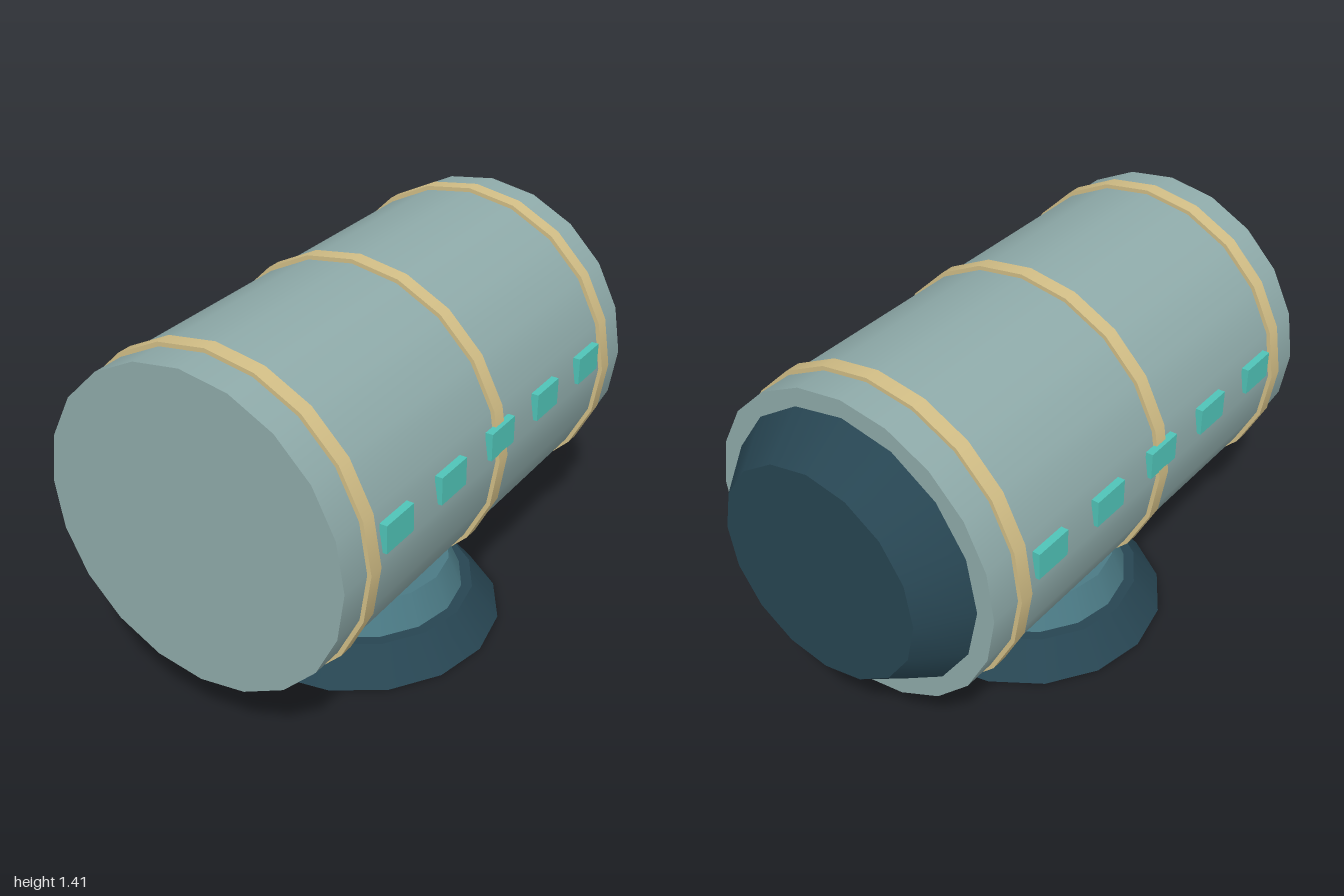
import * as THREE from 'three';

const AXIS_Y = 0.825; // height of the drum axis
const MID_Z = 0.085;  // middle band and stand

const paint = (color) => new THREE.MeshStandardMaterial({ color });

export function createModel() {
  const model = new THREE.Group();
  const hull = paint(0x8fabaa);
  const gold = paint(0xd2be86);
  const glow = paint(0x50c4b8);
  const dark = paint(0x274552);
  const teal = paint(0x4b7a85);

  const add = (name, geometry, material, x, y, z) => {
    const mesh = new THREE.Mesh(geometry, material);
    mesh.name = name;
    mesh.position.set(x, y, z);
    model.add(mesh);
  };

  // Cylinder lying along z, from zBack to zFront
  const lying = (name, rFront, rBack, zBack, zFront, sides, material) => {
    const geometry = new THREE.CylinderGeometry(rFront, rBack, zFront - zBack, sides);
    geometry.rotateX(Math.PI / 2);
    add(name, geometry, material, 0, AXIS_Y, (zFront + zBack) / 2);
  };

  // Upright tapered disc standing on yBottom
  const upright = (name, rTop, rBottom, yBottom, yTop, material) => {
    const geometry = new THREE.CylinderGeometry(rTop, rBottom, yTop - yBottom, 16);
    add(name, geometry, material, 0, (yTop + yBottom) / 2, MID_Z);
  };

  // Drum and tapered rear cap
  lying('drum', 0.57, 0.57, -0.835, 1, 20, hull);
  lying('rearCap', 0.505, 0.393, -1, -0.835, 16, dark);

  // Bands around the drum
  for (const z of [0.855, MID_Z, -0.69]) {
    lying('band', 0.585, 0.585, z - 0.027, z + 0.027, 20, gold);
  }

  // Row of windows on each side
  const pane = new THREE.BoxGeometry(0.027, 0.1, 0.15);
  for (const side of [-1, 1]) {
    for (let i = -2; i <= 2; i++) {
      add(side > 0 ? 'leftWindow' : 'rightWindow', pane, glow, side * 0.567, 0.9, MID_Z + i * 0.316);
    }
  }

  // Two-step stand
  upright('standFoot', 0.43, 0.53, 0, 0.125, dark);
  upright('standNeck', 0.34, 0.39, 0.125, 0.243, teal);

  return model;
}
